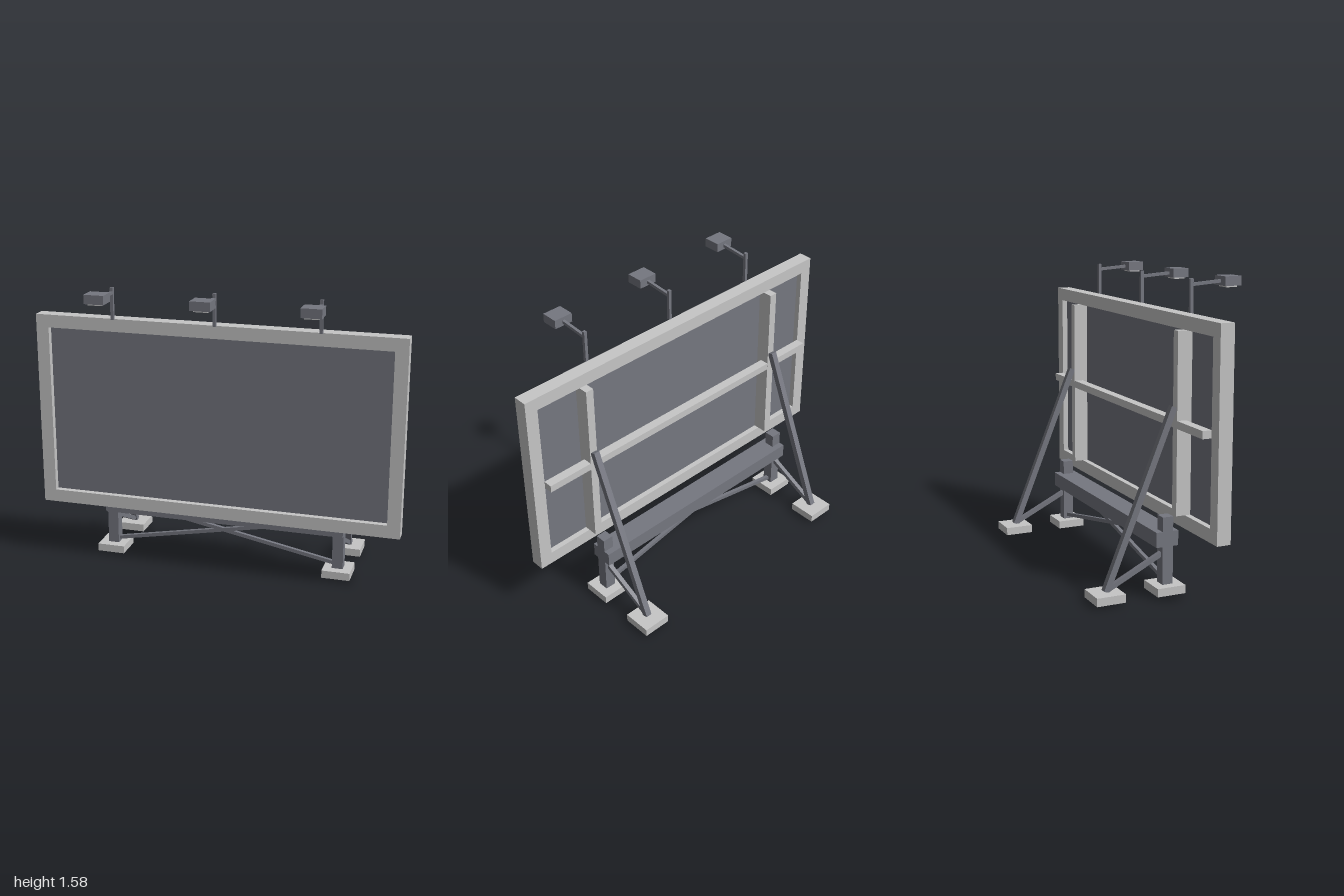
import * as THREE from 'three';

export function createModel() {
  const model = new THREE.Group();
  model.name = 'billboard';
  const paleGrey = new THREE.MeshStandardMaterial({ color: 0xc6c6c6 });
  paleGrey.name = 'pale grey';
  const slateGrey = new THREE.MeshStandardMaterial({ color: 0x757780 });
  slateGrey.name = 'slate grey';

  // Box given by its lower and upper limits on each axis
  function box(name, material, [x0, x1], [y0, y1], [z0, z1], parent = model) {
    const mesh = new THREE.Mesh(new THREE.BoxGeometry(x1 - x0, y1 - y0, z1 - z0), material);
    mesh.position.set((x0 + x1) / 2, (y0 + y1) / 2, (z0 + z1) / 2);
    mesh.name = name;
    parent.add(mesh);
    return mesh;
  }
  // Square bar running between two points
  function bar(name, a, b, width, parent = model) {
    const from = new THREE.Vector3(...a), to = new THREE.Vector3(...b);
    const mesh = new THREE.Mesh(new THREE.BoxGeometry(width, width, from.distanceTo(to)), slateGrey);
    mesh.position.copy(from).add(to).multiplyScalar(0.5);
    mesh.lookAt(to);
    mesh.name = name;
    parent.add(mesh);
    return mesh;
  }
  const around = (c, w) => [c - w / 2, c + w / 2];

  // Frame with a rectangular opening
  const outline = new THREE.Shape([[-1, 0.33], [1, 0.33], [1, 1.4], [-1, 1.4]]
    .map(p => new THREE.Vector2(...p)));
  outline.holes.push(new THREE.Path([[-0.93, 0.4], [-0.93, 1.33], [0.93, 1.33], [0.93, 0.4]]
    .map(p => new THREE.Vector2(...p))));
  const frame = new THREE.Mesh(
    new THREE.ExtrudeGeometry(outline, { depth: 0.075, bevelEnabled: false }), paleGrey);
  frame.position.z = 0.085;
  frame.name = 'frame';
  model.add(frame);

  // Recessed display panel and the rail behind it
  box('displayPanel', slateGrey, [-0.93, 0.93], [0.4, 1.33], [0.115, 0.128]);
  box('backRail', paleGrey, [-0.93, 0.93], [0.845, 0.885], [0.036, 0.086]);

  // Lower cross beam and crossed braces
  box('crossBeam', slateGrey, [-0.68, 0.68], [0.252, 0.33], [-0.076, 0.045]);
  for (const s of [-1, 1]) {
    bar('crossBrace', [s * 0.65, 0.073, -0.013], [-s * 0.65, 0.323, -0.013], 0.02);
  }

  // Supports on both sides
  for (const s of [-1, 1]) {
    const support = new THREE.Group();
    support.name = s > 0 ? 'leftSupport' : 'rightSupport';
    model.add(support);
    const x = s * 0.65;
    box('leg', slateGrey, around(x, 0.06), [0, 0.405], [-0.042, 0.016], support);
    box('frontFoot', paleGrey, around(x, 0.155), [0.012, 0.055], [-0.091, 0.064], support);
    box('rearFoot', paleGrey, around(x, 0.155), [0.012, 0.055], [-0.42, -0.265], support);
    box('backBatten', paleGrey, around(x, 0.045), [0.4, 1.33], [0.0355, 0.115], support);
    bar('rearStrut', [x, 0.955, 0.025], [x, 0.055, -0.34], 0.033, support);
    bar('lowerStrut', [x, 0.22, -0.02], [x, 0.06, -0.34], 0.024, support);
  }

  // Overhead lamps on bent posts
  for (const x of [-0.558, 0, 0.558]) {
    const lamp = new THREE.Group();
    lamp.name = 'lamp';
    model.add(lamp);
    box('lampPost', slateGrey, around(x, 0.017), [1.398, 1.57], [0.158, 0.175], lamp);
    bar('lampArm', [x, 1.54, 0.166], [x, 1.553, 0.34], 0.016, lamp);
    box('lampHead', slateGrey, around(x, 0.106), [1.53, 1.578], [0.328, 0.42], lamp);
    box('lampLens', paleGrey, around(x, 0.075), [1.522, 1.531], [0.343, 0.405], lamp);
  }
  return model;
}
